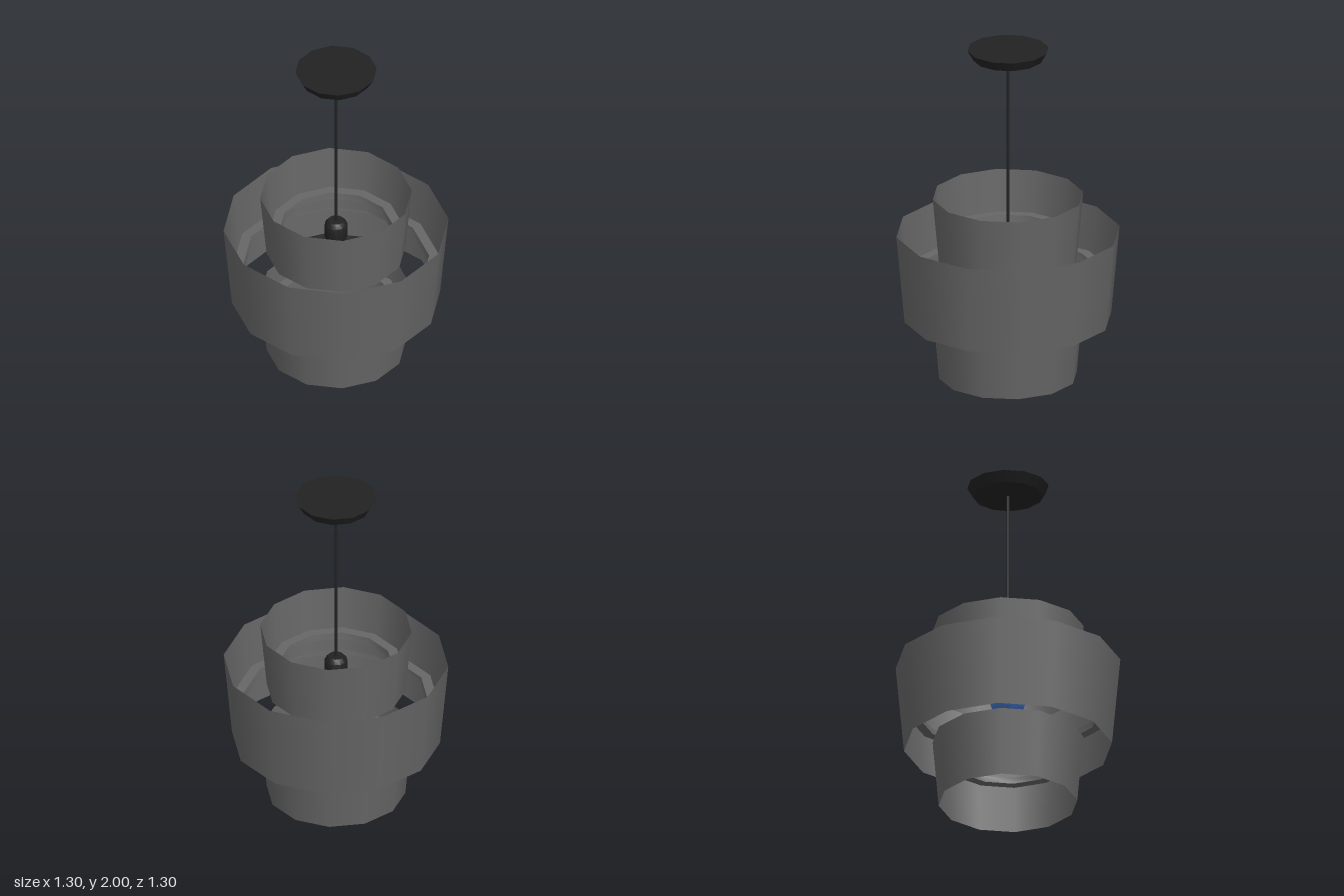
import * as THREE from 'three';
import { toCreasedNormals } from 'three/addons/utils/BufferGeometryUtils.js';

const SIDES = 12;
const shadeMaterial = new THREE.MeshStandardMaterial({ color: 0x666666, side: THREE.DoubleSide });
const ringMaterial = new THREE.MeshStandardMaterial({ color: 0x666666 });
const darkMaterial = new THREE.MeshStandardMaterial({ color: 0x222222 });
const bulbMaterial = new THREE.MeshStandardMaterial({ color: 0x4477cc });

function addMesh(parent, name, geometry, material, y = 0) {
  const mesh = new THREE.Mesh(geometry, material);
  mesh.name = name;
  mesh.position.y = y;
  parent.add(mesh);
  return mesh;
}

// Upright tapered cylinder spanning y0 to y1
function addCone(parent, name, rBottom, rTop, y0, y1, material, open = false, sides = SIDES) {
  const geometry = new THREE.CylinderGeometry(rTop, rBottom, y1 - y0, sides, 1, open);
  return addMesh(parent, name, geometry, material, (y0 + y1) / 2);
}

function lathe(points, sides) {
  return new THREE.LatheGeometry(points.map(([r, y]) => new THREE.Vector2(r, y)), sides);
}

// Flat band with slightly tapered edges
function addRing(parent, name, rInner, rOuter, y0, y1) {
  const taper = 0.006;
  const profile = [
    [rOuter - taper, y0], [rOuter, y1], [rInner, y1], [rInner - taper, y0], [rOuter - taper, y0],
  ];
  return addMesh(parent, name, toCreasedNormals(lathe(profile, SIDES), 0.7), ringMaterial);
}

export function createModel() {
  const lamp = new THREE.Group();
  lamp.name = 'pendantLamp';

  // Ceiling canopy and hanging cord
  addCone(lamp, 'canopy', 0.2, 0.235, 1.94, 2, darkMaterial);
  addCone(lamp, 'cord', 0.01, 0.01, 0.9, 1.95, darkMaterial, false, 8);

  // Three open tapered shades, each with its inner ring
  const tiers = [
    { name: 'lower', r: [0.4, 0.435], y: [0, 0.4], ring: [0.327, 0.383, 0.27, 0.31] },
    { name: 'middle', r: [0.6, 0.648], y: [0.355, 0.88], ring: [0.537, 0.594, 0.58, 0.62] },
    { name: 'upper', r: [0.4, 0.437], y: [0.7, 1.1], ring: [0.327, 0.383, 0.82, 0.86] },
  ];
  for (const { name, r, y, ring } of tiers) {
    addCone(lamp, name + 'Shade', r[0], r[1], y[0], y[1], shadeMaterial, true);
    addRing(lamp, name + 'Ring', ...ring);
  }

  // Lamp holder and bulb
  const socket = lathe([[0, 0.76], [0.05, 0.76], [0.065, 0.8], [0.065, 0.89], [0.045, 0.915], [0, 0.915]], SIDES);
  addMesh(lamp, 'socket', toCreasedNormals(socket, 0.7), darkMaterial);
  const bulb = lathe([[0, 0.54], [0.05, 0.555], [0.09, 0.59], [0.105, 0.64], [0.095, 0.69], [0.06, 0.735], [0.045, 0.78]], SIDES);
  addMesh(lamp, 'bulb', bulb, bulbMaterial);

  return lamp;
}
